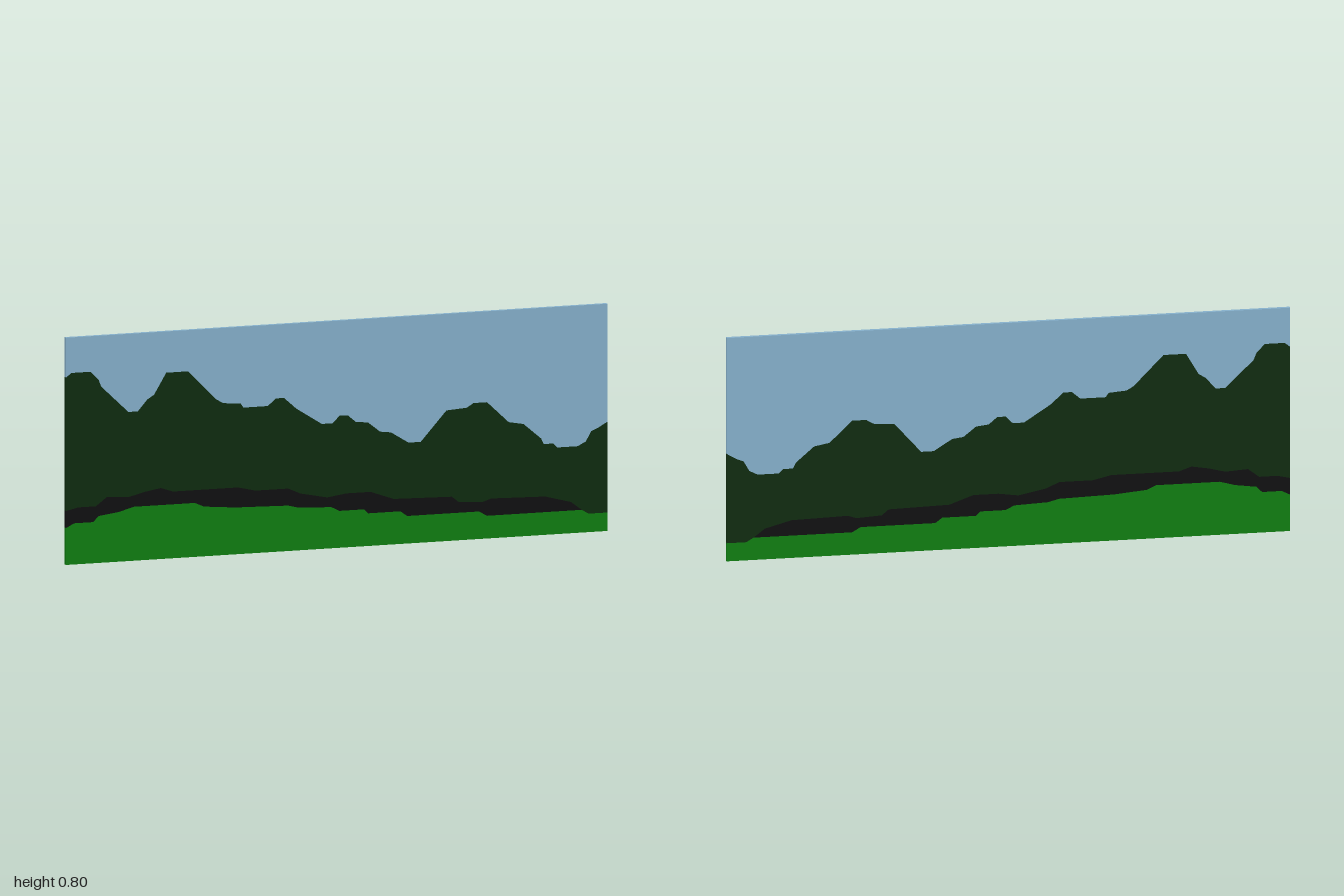
import * as THREE from 'three';

const DEPTH = 0.016;

// Skylines from left to right, as x, y points
const treeline = [
  [-1, 0.66], [-0.98, 0.675], [-0.91, 0.675], [-0.88, 0.645], [-0.87, 0.62], [-0.77, 0.525],
  [-0.735, 0.525], [-0.7, 0.565], [-0.675, 0.58], [-0.63, 0.655], [-0.55, 0.655], [-0.445, 0.55],
  [-0.42, 0.535], [-0.355, 0.53], [-0.345, 0.515], [-0.255, 0.515], [-0.225, 0.54], [-0.195, 0.54],
  [-0.15, 0.5], [-0.055, 0.44], [-0.015, 0.44], [0.01, 0.465], [0.04, 0.465], [0.07, 0.44],
  [0.115, 0.435], [0.16, 0.4], [0.2, 0.395], [0.265, 0.355], [0.31, 0.355], [0.405, 0.46],
  [0.48, 0.465], [0.505, 0.48], [0.555, 0.48], [0.635, 0.405], [0.69, 0.395], [0.755, 0.34],
  [0.765, 0.32], [0.8, 0.32], [0.815, 0.305], [0.89, 0.305], [0.92, 0.32], [0.94, 0.355],
  [0.965, 0.365], [1, 0.385],
];
const shadowTop = [
  [-1, 0.19], [-0.955, 0.2], [-0.89, 0.2], [-0.85, 0.23], [-0.77, 0.225], [-0.71, 0.24],
  [-0.65, 0.25], [-0.605, 0.235], [-0.365, 0.235], [-0.3, 0.22], [-0.18, 0.22], [-0.135, 0.2],
  [-0.035, 0.18], [0.035, 0.19], [0.125, 0.19], [0.21, 0.16], [0.425, 0.155], [0.45, 0.135],
  [0.54, 0.13], [0.57, 0.14], [0.77, 0.135], [0.865, 0.11],
];
const grassUnderShadow = [
  [-1, 0.13], [-0.97, 0.145], [-0.9, 0.145], [-0.88, 0.165], [-0.805, 0.175], [-0.75, 0.19],
  [-0.525, 0.19], [-0.49, 0.175], [-0.375, 0.165], [-0.18, 0.16], [-0.14, 0.15], [-0.02, 0.145],
  [0.01, 0.13], [0.1, 0.13], [0.115, 0.115], [0.235, 0.115], [0.26, 0.097], [0.525, 0.097],
  [0.555, 0.08], [0.905, 0.08],
];
// Right end, where the trees meet the grass directly
const grassEnd = [[0.93, 0.065], [1, 0.065]];
const shadowTip = grassUnderShadow.at(-1);

// A slab filled between a lower and an upper line, through the full depth
function layer(name, lower, upper, material) {
  const outline = [...lower, ...[...upper].reverse()].map(([x, y]) => new THREE.Vector2(x, y));
  const geometry = new THREE.ExtrudeGeometry(new THREE.Shape(outline), {
    depth: DEPTH, bevelEnabled: false,
  });
  geometry.translate(0, 0, -DEPTH / 2);
  const mesh = new THREE.Mesh(geometry, material);
  mesh.name = name;
  return mesh;
}

function paint(name, color) {
  const material = new THREE.MeshStandardMaterial({ color });
  material.name = name;
  return material;
}

export function createModel() {
  const group = new THREE.Group();
  group.name = 'landscapePanel';
  group.add(
    layer('grass', [[-1, 0], [1, 0]], [...grassUnderShadow, ...grassEnd], paint('grassGreen', 0x0f8010)),
    layer('shadowBand', grassUnderShadow, shadowTop, paint('shadowBlack', 0x0f0f10)),
    layer('forest', [...shadowTop, shadowTip, ...grassEnd], treeline, paint('forestGreen', 0x0e2c0f)),
    layer('sky', treeline, [[-1, 0.8], [1, 0.8]], paint('skyBlue', 0x87b2ce)),
  );
  return group;
}
